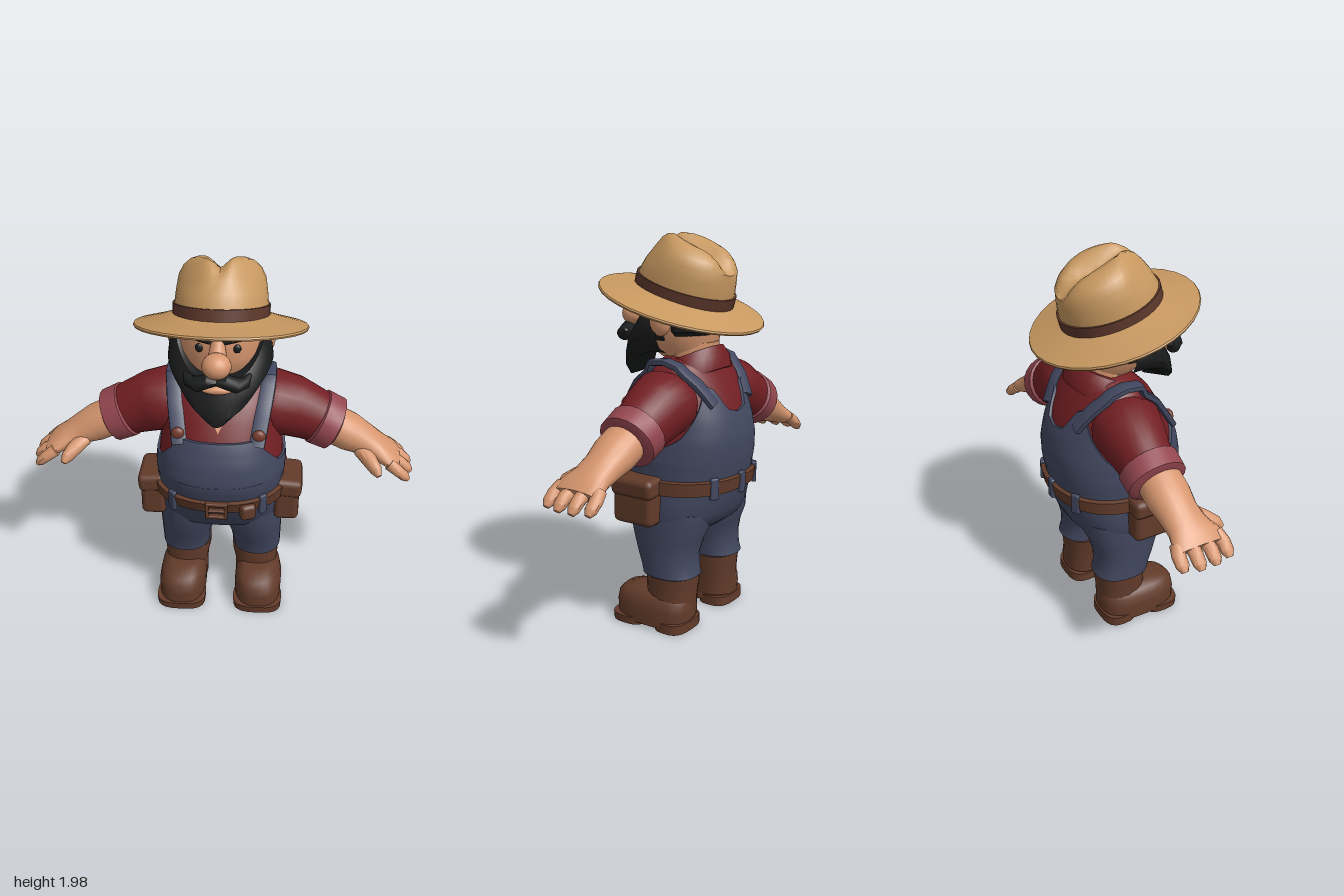
import * as THREE from 'three';
import { toCreasedNormals } from 'three/addons/utils/BufferGeometryUtils.js';
import { RoundedBoxGeometry } from 'three/addons/geometries/RoundedBoxGeometry.js';

const V = (x, y, z) => new THREE.Vector3(x, y, z);
const pw = (v, e) => Math.sign(v) * Math.abs(v) ** e;
const lerp = THREE.MathUtils.lerp, smooth = THREE.MathUtils.smoothstep, rad = Math.PI / 180;
const UP = V(0, 1, 0);

function build(pos, idx, crease = 0.7) {
  const g = new THREE.BufferGeometry();
  g.setAttribute('position', new THREE.Float32BufferAttribute(pos, 3));
  g.setIndex(idx);
  return toCreasedNormals(g, crease);
}

// Closed skin through rings [x, y, z, radius along ref, radius across]
function loft(rows, { dir, ref = V(0, 0, 1), n = 20, pow = 2, rule, crease } = {}) {
  const pos = [], idx = [], c = rows.map(r => V(r[0], r[1], r[2])), last = rows.length - 1;
  rows.forEach((r, i) => {
    const t = dir ? dir.clone().normalize() : c[Math.min(i + 1, last)].clone().sub(c[Math.max(i - 1, 0)]).normalize();
    const a = ref.clone().addScaledVector(t, -ref.dot(t)).normalize(), b = t.clone().cross(a);
    for (let s = 0; s < n; s++) {
      const f = s / n * Math.PI * 2;
      const p = c[i].clone().addScaledVector(b, pw(Math.cos(f), 2 / pow) * r[4]).addScaledVector(a, pw(Math.sin(f), 2 / pow) * r[3]);
      if (rule) rule(p);
      pos.push(p.x, p.y, p.z);
      const q = i * n + s, q2 = i * n + (s + 1) % n;
      if (i < last) idx.push(q, q + n, q2, q2, q + n, q2 + n);
      else idx.push(rows.length * n + 1, q2, q);
      if (i === 0) idx.push(rows.length * n, q, q2);
    }
  });
  for (const p of [c[0], c[last].clone()]) { if (rule) rule(p); pos.push(p.x, p.y, p.z); }
  return build(pos, idx, crease);
}

// Sheet over f(u, v), u and v from 0 to 1
function sheet(f, nu, nv) {
  const pos = [], idx = [];
  for (let j = 0; j <= nv; j++) for (let i = 0; i <= nu; i++) {
    pos.push(...f(i / nu, j / nv));
    const q = j * (nu + 1) + i;
    if (i < nu && j < nv) idx.push(q, q + 1, q + nu + 1, q + 1, q + nu + 2, q + nu + 1);
  }
  return build(pos, idx);
}

// Linear lookup in a table whose first column ascends
function table(rows, k) {
  let i = 0;
  while (i < rows.length - 2 && k > rows[i + 1][0]) i++;
  const t = THREE.MathUtils.clamp((k - rows[i][0]) / (rows[i + 1][0] - rows[i][0]), 0, 1);
  return rows[i].map((v, j) => lerp(v, rows[i + 1][j], t));
}

// Body sections: y, front z, back z, half width
const TORSO = [[0.52, 0.1, -0.21, 0.25], [0.56, 0.165, -0.265, 0.31], [0.62, 0.2, -0.295, 0.33], [0.7, 0.25, -0.32, 0.32],
  [0.78, 0.29, -0.335, 0.32], [0.9, 0.315, -0.355, 0.325], [1.0, 0.3, -0.36, 0.315], [1.1, 0.26, -0.34, 0.3],
  [1.2, 0.2, -0.3, 0.29], [1.28, 0.15, -0.26, 0.28], [1.34, 0.09, -0.22, 0.25], [1.39, 0.04, -0.19, 0.17]];
const HEAD = [[1.38, 0.1, -0.16, 0.12], [1.45, 0.19, -0.19, 0.185], [1.55, 0.215, -0.205, 0.21], [1.65, 0.215, -0.21, 0.21],
  [1.72, 0.205, -0.21, 0.2], [1.77, 0.18, -0.21, 0.19]];
const rings = rows => rows.map(([y, f, b, w]) => [0, y, (f + b) / 2, (f - b) / 2, w]);
// Point on a body surface at angle (0 is the front) and height
function on(rows, deg, y, off, pow) {
  const [, f, b, w] = table(rows, y), s = Math.sin(deg * rad), c = Math.cos(deg * rad);
  return [pw(s, 2 / pow) * (w + off), y, (f + b) / 2 + pw(c, 2 / pow) * ((f - b) / 2 + off)];
}
const onTorso = (deg, y, off) => on(TORSO, deg, y, off, 2.3);
// Depth of the torso surface at a given x and height
function zAt(x, y, side) {
  const [, f, b, w] = table(TORSO, y);
  return (f + b) / 2 + side * ((f - b) / 2 * Math.max(0, 1 - (x / w) ** 2.3) ** (1 / 2.3) + 0.012);
}

export function createModel() {
  const root = new THREE.Group();
  const mat = (name, color) => Object.assign(new THREE.MeshStandardMaterial({ color }), { name });
  const M = { skin: mat('skin', 0xd6966f), black: mat('black hair', 0x1b1c1d), shirt: mat('red shirt', 0x721f23),
    cuff: mat('pink cuff', 0x93464f), denim: mat('blue denim', 0x41475f), leather: mat('brown leather', 0x623b2a),
    straw: mat('straw', 0xc79860), band: mat('hat band', 0x5c372b), button: mat('button', 0x783c2e) };
  const add = (name, geo, m, parent = root) => {
    const o = new THREE.Mesh(geo, m);
    o.name = name;
    parent.add(o);
    return o;
  };
  const ball = (name, m, p, s) => {
    const o = add(name, new THREE.SphereGeometry(1, 18, 12), m);
    o.position.set(...p); o.scale.set(...s);
    return o;
  };
  const box = (name, m, p, s, r = 0.02, ry = 0) => {
    const o = add(name, new RoundedBoxGeometry(...s, 2, r), m);
    o.position.set(...p); o.rotation.y = ry;
    return o;
  };

  // Torso and overalls
  add('shirt', loft(rings(TORSO.slice(4)), { dir: UP, n: 48, pow: 2.3 }), M.shirt);
  add('hips', loft(rings(TORSO.slice(0, 6)).map(r => [r[0], r[1], r[2], r[3] + 0.012, r[4] + 0.012]), { dir: UP, n: 48, pow: 2.3 }), M.denim);
  const TOP = [[0, 1.12], [33, 1.12], [45, 1.06], [65, 0.97], [90, 0.94], [115, 1.02], [135, 1.16], [148, 1.27], [158, 1.25], [168, 1.15], [180, 1.13]];
  add('overallsBib', sheet((u, v) => {
    const d = lerp(-180, 180, u), y = lerp(0.86, table(TOP, Math.abs(d))[1], Math.min(1, v * 10 / 9));
    return onTorso(d, y, v > 0.99 ? -0.01 : 0.013);
  }, 96, 10), M.denim);
  add('openNeck', sheet((u, v) => onTorso(lerp(-8, 8, u) * v, lerp(1.16, 1.28, v), 0.006), 6, 4), M.skin);
  add('collar', loft([[0, 1.27, -0.1, 0.17, 0.2], [0, 1.33, -0.08, 0.18, 0.2], [0, 1.375, -0.05, 0.18, 0.175]],
    { dir: V(0, 0.915, 0.4), n: 28 }), M.shirt);

  // Belt, loops and buckle
  add('belt', loft([[0.735, 0.02], [0.738, 0.034], [0.805, 0.034], [0.81, 0.02]].map(([y, o]) => {
    const [, f, b, w] = table(TORSO, y);
    return [0, y, (f + b) / 2, (f - b) / 2 + o, w + o];
  }), { dir: UP, n: 48, pow: 2.3 }), M.leather);
  for (const d of [-38, 38, 150, 180, -150]) {
    const p = onTorso(d, 0.77, 0.03);
    box('beltLoop', M.denim, p, [0.045, 0.11, 0.025], 0.008, Math.atan2(p[0], p[2]));
  }
  for (const [x, y, w, h] of [[0, 0.805, 0.11, 0.018], [0, 0.73, 0.11, 0.018], [-0.047, 0.767, 0.018, 0.09], [0.047, 0.767, 0.018, 0.09], [0, 0.767, 0.09, 0.014]])
    box('buckle', M.leather, [x, y, 0.325], [w, h, 0.03], 0.006);
  box('smallPouch', M.leather, [0.155, 0.755, 0.3], [0.08, 0.085, 0.06], 0.02, 0.4);

  // Head and face
  add('neck', loft([[0, 1.3, -0.07, 0.12, 0.13], [0, 1.46, -0.06, 0.14, 0.14]], { dir: UP }), M.skin);
  add('head', loft(rings(HEAD), { dir: UP, n: 32 }), M.skin);
  ball('nose', M.skin, [0, 1.57, 0.295], [0.07, 0.062, 0.068]);
  add('noseBridge', loft([[0, 1.68, 0.18, 0.03, 0.03], [0, 1.63, 0.215, 0.035, 0.035], [0, 1.57, 0.25, 0.04, 0.05]]), M.skin);
  ball('lowerLip', M.skin, [0, 1.437, 0.28], [0.075, 0.022, 0.025]);
  const hair = (a, b, y0, y1, off) => sheet((u, v) =>
    on(HEAD, lerp(a, b, u), lerp(y0, y1, v), u * (1 - u) * v * (1 - v) < 0.001 ? -0.01 : off, 2), 20, 8);
  add('backHair', hair(108, 252, 1.49, 1.74, 0.025), M.black);

  // Beard: height fraction, half width, front z
  const BEARD = [[0, 0.18, 0.17], [0.03, 0.215, 0.255], [0.3, 0.24, 0.285], [0.6, 0.228, 0.3], [0.85, 0.18, 0.32], [1, 0.12, 0.315], [0.75, 0.07, 0.16]];
  add('beard', sheet((u, v) => {
    const a = lerp(100, -100, u) * rad, [h, w, z] = BEARD[Math.round(v * 6)], s = Math.abs(Math.sin(a));
    return [w * Math.sin(a) * (1 + 0.35 * s * h * h), lerp(1.475 + 0.16 * s ** 4, 1.25 + 0.16 * s * s, h), 0.03 + (z - 0.03) * Math.cos(a)];
  }, 32, 6), M.black);

  // Hat, tilted back
  const hat = new THREE.Group();
  hat.name = 'hat';
  hat.position.y = 1.645;
  hat.rotation.x = -0.29;
  root.add(hat);
  const brim = [[0.2, 0.035], [0.32, 0.01], [0.418, -0.012], [0.422, -0.004], [0.418, 0.004], [0.32, 0.028], [0.21, 0.06]];
  add('brim', toCreasedNormals(new THREE.LatheGeometry(brim.map(p => new THREE.Vector2(...p)), 32), 0.7), M.straw, hat).scale.z = 1.02;
  const pinch = p => {
    const top = smooth(p.y, 0.2, 0.31);
    p.y += top * (p.z * 0.12 - 0.055 * Math.exp(-((p.x / 0.05) ** 2)));
    p.x *= 1 - 0.3 * smooth(p.y, 0.12, 0.28) * smooth(p.z, 0, 0.2);
  };
  add('crown', loft([[0, 0.03, 0, 0.255, 0.225], [0, 0.1, 0, 0.255, 0.225], [0, 0.17, -0.005, 0.24, 0.218], [0, 0.23, -0.012, 0.222, 0.208],
    [0, 0.275, -0.015, 0.198, 0.185], [0, 0.305, -0.015, 0.17, 0.15], [0, 0.318, -0.01, 0.14, 0.11], [0, 0.318, -0.01, 0.1, 0.07], [0, 0.315, -0.01, 0.05, 0.03]],
    { dir: UP, n: 40, rule: pinch }), M.straw, hat);
  add('hatBand', loft([[0, 0.04, 0, 0.264, 0.234], [0, 0.102, 0, 0.264, 0.234]], { dir: UP, n: 40 }), M.band, hat);

  // Everything that comes in pairs
  for (const s of [1, -1]) {
    const side = s > 0 ? 'left' : 'right';
    const put = (name, m, rows, opt) => add(side + name, loft(rows.map(r => [r[0] * s, ...r.slice(1)]), opt), m);

    // Face pairs
    ball(side + 'Ear', M.skin, [s * 0.228, 1.57, -0.03], [0.036, 0.07, 0.06]);
    ball(side + 'Eye', M.black, [s * 0.088, 1.612, 0.195], [0.02, 0.022, 0.012]);
    add(side + 'Sideburn', hair(s * 84 - 15, s * 84 + 15, 1.46, 1.74, 0.018), M.black);
    put('Eyebrow', M.black, [[0.03, 1.655, 0.225, 0.015, 0.012], [0.06, 1.68, 0.22, 0.03, 0.03], [0.11, 1.69, 0.2, 0.032, 0.033],
      [0.15, 1.68, 0.17, 0.028, 0.026], [0.17, 1.66, 0.15, 0.01, 0.01]], { n: 10 });
    put('Moustache', M.black, [[-0.01, 1.5, 0.3, 0.03, 0.02], [0.04, 1.5, 0.31, 0.038, 0.034], [0.09, 1.475, 0.295, 0.042, 0.037],
      [0.13, 1.475, 0.265, 0.034, 0.03], [0.155, 1.505, 0.235, 0.01, 0.008]], { n: 12 });

    // Strap over the shoulder and its button
    const strap = [];
    for (let i = 0; i <= 4; i++) strap.push([lerp(0.19, 0.232, i / 4), lerp(1.09, 1.33, i / 4), zAt(lerp(0.19, 0.232, i / 4), lerp(1.09, 1.33, i / 4), 1)]);
    strap.push([0.236, 1.372, 0.01], [0.236, 1.38, -0.07], [0.232, 1.36, -0.14]);
    for (let i = 0; i <= 3; i++) strap.push([lerp(0.222, 0.15, i / 3), lerp(1.33, 1.18, i / 3), zAt(lerp(0.222, 0.15, i / 3), lerp(1.33, 1.18, i / 3), -1)]);
    put('Strap', M.denim, strap.map(p => [...p, 0.04, 0.016]), { ref: V(1, 0, 0), n: 12, pow: 4 });
    ball(side + 'Button', M.button, [s * 0.2, 1.14, zAt(0.2, 1.14, 1) + 0.012], [0.034, 0.034, 0.022]);

    // Arm
    put('Sleeve', M.shirt, [[0.16, 1.2, -0.07, 0.14, 0.12], [0.26, 1.185, -0.075, 0.18, 0.165], [0.36, 1.155, -0.085, 0.16, 0.16],
      [0.45, 1.115, -0.09, 0.14, 0.145], [0.53, 1.08, -0.09, 0.135, 0.13]], { n: 24 });
    put('Cuff', M.cuff, [[0.485, 1.1, -0.09, 0.135, 0.13], [0.495, 1.095, -0.09, 0.152, 0.146], [0.58, 1.055, -0.09, 0.15, 0.14],
      [0.592, 1.05, -0.09, 0.125, 0.115]], { n: 20 });
    put('Forearm', M.skin, [[0.55, 1.07, -0.08, 0.11, 0.1], [0.66, 1.015, -0.08, 0.112, 0.098], [0.74, 0.975, -0.078, 0.1, 0.08],
      [0.81, 0.94, -0.07, 0.105, 0.062], [0.87, 0.91, -0.06, 0.13, 0.05], [0.91, 0.885, -0.06, 0.125, 0.035]], { n: 20 });
    [-0.16, -0.095, -0.025, 0.045].forEach((z, i) => {
      const k = [-0.02, 0.005, 0.005, -0.015][i], z2 = z * 1.15 + 0.008;
      put('Finger', M.skin, [[0.87, 0.905, z, 0.036, 0.034], [0.93 + k, 0.875, z2, 0.034, 0.03], [0.965 + k, 0.845, z2, 0.032, 0.027],
        [0.985 + k, 0.825, z2, 0.016, 0.014]], { n: 10 });
    });
    put('Thumb', M.skin, [[0.73, 0.95, -0.01, 0.04, 0.05], [0.77, 0.92, 0.05, 0.04, 0.038], [0.8, 0.895, 0.095, 0.034, 0.03],
      [0.815, 0.875, 0.12, 0.014, 0.014]], { n: 10, ref: V(0, 1, 0) });

    // Trouser leg
    put('TrouserLeg', M.denim, [[0.197, 0.275, -0.075, 0.12, 0.11], [0.197, 0.29, -0.075, 0.15, 0.13], [0.195, 0.33, -0.065, 0.148, 0.132],
      [0.19, 0.4, -0.05, 0.16, 0.138], [0.178, 0.48, -0.045, 0.185, 0.152], [0.17, 0.55, -0.05, 0.21, 0.165], [0.165, 0.63, -0.05, 0.22, 0.165]],
      { dir: UP, n: 24, pow: 2.3 });

    // Boot
    put('BootShaft', M.leather, [[0.2, 0.06, -0.075, 0.125, 0.118], [0.195, 0.18, -0.075, 0.125, 0.118], [0.19, 0.25, -0.077, 0.13, 0.128],
      [0.19, 0.285, -0.078, 0.132, 0.13]], { dir: UP, n: 20, pow: 2.4 });
    put('BootFoot', M.leather, [[0.212, 0.02, 0.015, 0.21, 0.128], [0.212, 0.1, 0.015, 0.215, 0.13], [0.21, 0.15, 0.012, 0.21, 0.122],
      [0.207, 0.178, 0.005, 0.19, 0.105], [0.203, 0.2, -0.03, 0.13, 0.08]], { dir: UP, n: 28, pow: 2.7 });
    put('BootSole', M.leather, [[0.212, 0, 0.13, 0.105, 0.133], [0.212, 0.04, 0.13, 0.108, 0.135]], { dir: UP, n: 24, pow: 3 });
    put('BootHeel', M.leather, [[0.21, 0, -0.115, 0.09, 0.125], [0.21, 0.05, -0.115, 0.09, 0.125]], { dir: UP, n: 24, pow: 3 });

    // Hip pouch with flap
    box(side + 'Pouch', M.leather, [s * 0.35, 0.69, 0.02], [0.13, 0.22, 0.235], 0.03);
    box(side + 'PouchFlap', M.leather, [s * 0.355, 0.775, 0.02], [0.145, 0.1, 0.25], 0.03).rotation.z = -s * 0.08;
  }
  return root;
}
